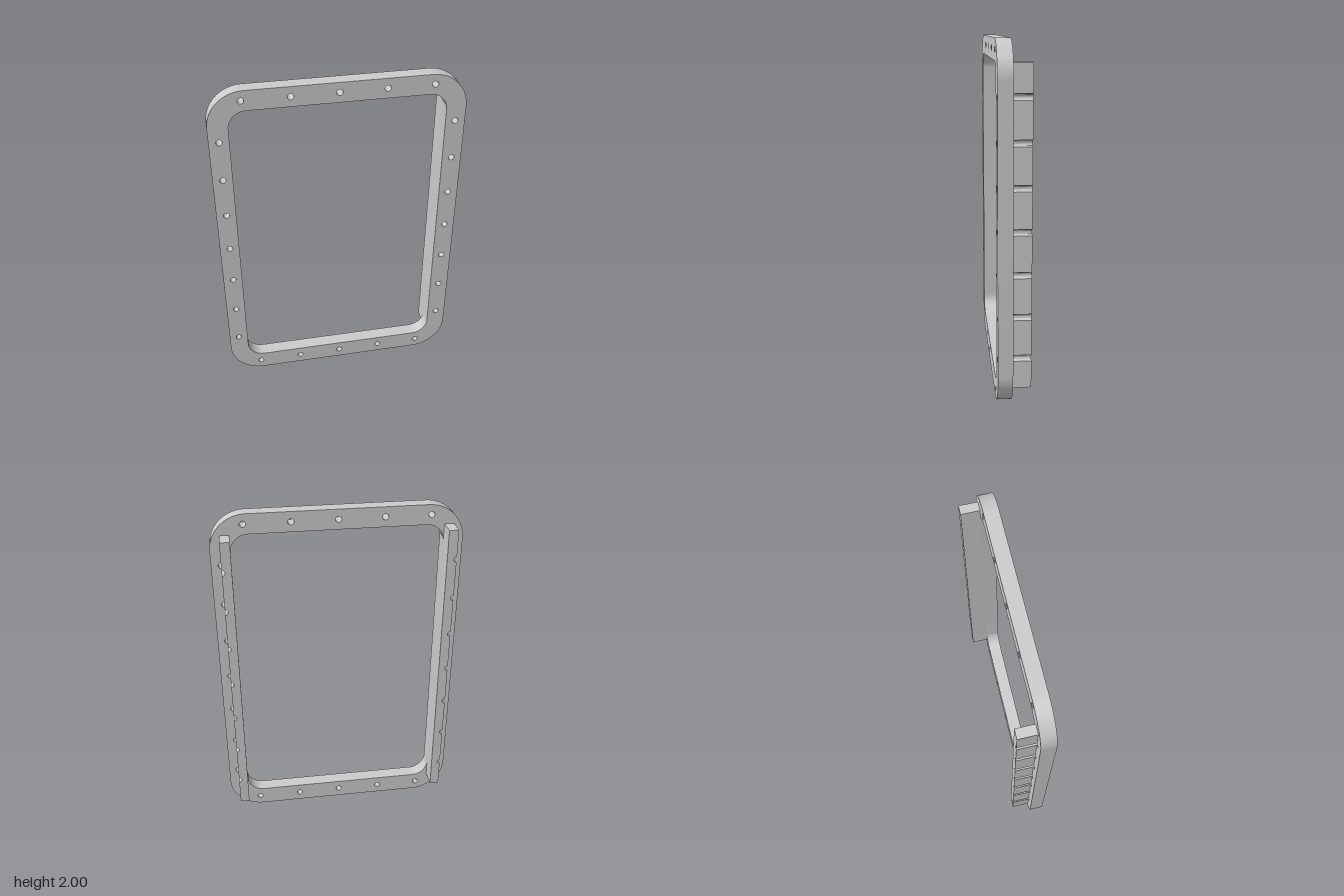
import * as THREE from 'three';
import { toCreasedNormals } from 'three/addons/utils/BufferGeometryUtils.js';

const HOLE_R = 0.0175, SIDE_X = 0.653, END_Y = 0.942;
const BACK = -0.094, MID = 0.011, FRONT = 0.094;
const sideRows = [-3, -2, -1, 0, 1, 2, 3].map((i) => i * 0.2365);
const endColumns = [-2, -1, 0, 1, 2].map((i) => i * 0.2615);

function roundedRect(path, w, h, r) {
  path.moveTo(w, -h + r);
  path.absarc(w - r, h - r, r, 0, Math.PI / 2);
  path.absarc(-w + r, h - r, r, Math.PI / 2, Math.PI);
  path.absarc(-w + r, -h + r, r, Math.PI, Math.PI * 1.5);
  path.absarc(w - r, -h + r, r, Math.PI * 1.5, Math.PI * 2);
  path.closePath();
  return path;
}

function extrude(shape, z0, z1) {
  const geo = new THREE.ExtrudeGeometry(shape, { depth: z1 - z0, bevelEnabled: false, curveSegments: 16 });
  geo.translate(0, 0, z0);
  return toCreasedNormals(geo, 0.6);
}

export function createModel() {
  const model = new THREE.Group();
  model.name = 'boltedFrame';
  const grey = new THREE.MeshStandardMaterial({ color: 0xcccccc });
  const add = (name, geo) => {
    const mesh = new THREE.Mesh(geo, grey);
    mesh.name = name;
    mesh.position.y = 1;
    model.add(mesh);
    return mesh;
  };

  // Rounded frame with a large opening and a ring of bolt holes
  const frame = roundedRect(new THREE.Shape(), 0.71, 1, 0.205);
  frame.holes.push(roundedRect(new THREE.Path(), 0.598, 0.884, 0.1));
  const hole = (x, y) => frame.holes.push(new THREE.Path().absarc(x, y, HOLE_R, 0, Math.PI * 2));
  for (const s of [-1, 1]) {
    sideRows.forEach((y) => hole(s * SIDE_X, y));
    endColumns.forEach((x) => hole(x, s * END_Y));
  }
  add('frame', extrude(frame, MID, FRONT));

  // Side rails behind the frame, grooved on the outside in line with the bolt holes
  const rail = new THREE.Shape();
  rail.moveTo(0.598, -0.884);
  rail.lineTo(SIDE_X, -0.884);
  sideRows.forEach((y) => rail.absarc(SIDE_X, y, HOLE_R, -Math.PI / 2, Math.PI / 2, true));
  rail.lineTo(SIDE_X, 0.884);
  rail.lineTo(0.598, 0.884);
  rail.closePath();
  const railGeo = extrude(rail, BACK, MID);
  add('leftRail', railGeo);
  add('rightRail', railGeo).rotation.z = Math.PI;

  return model;
}
